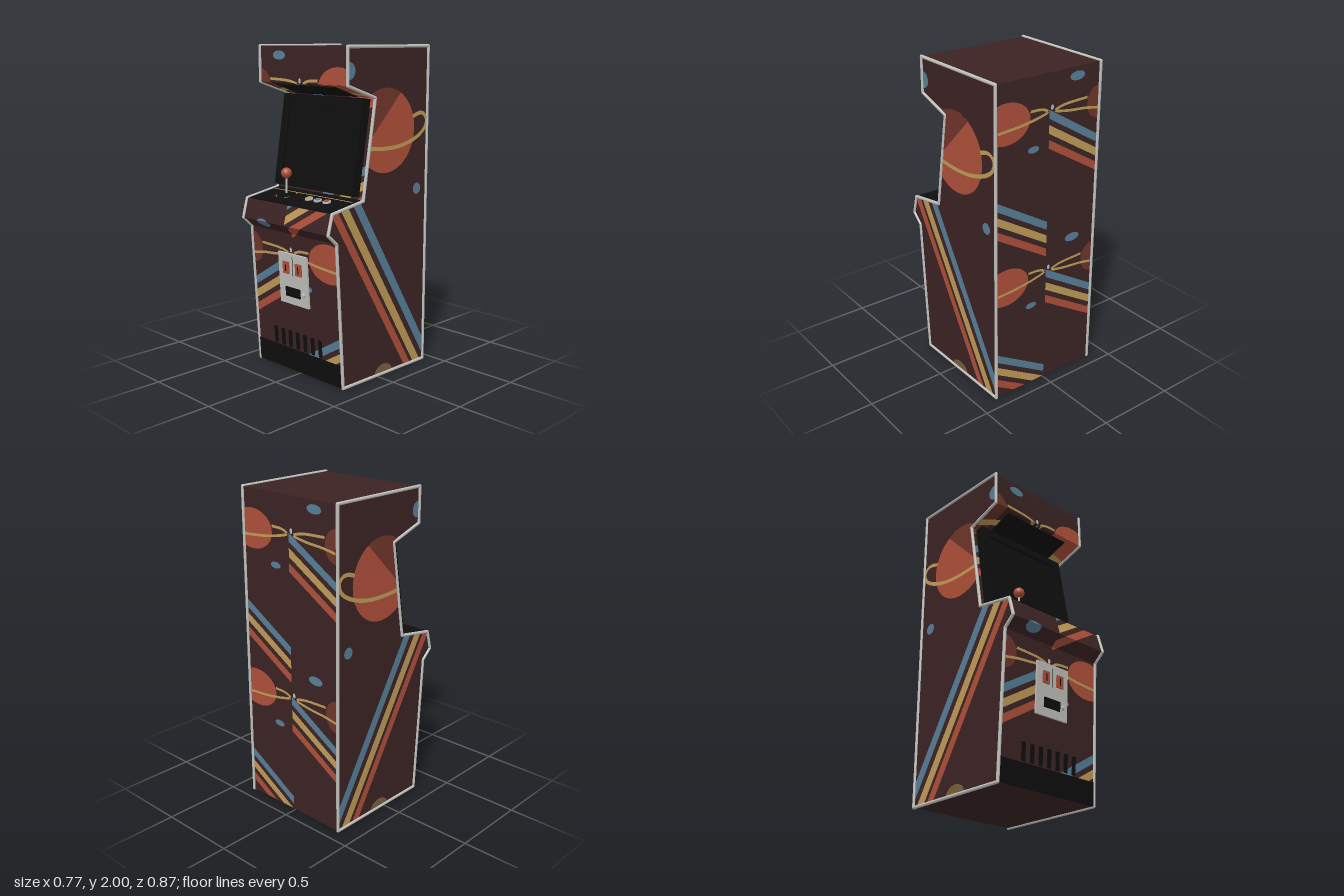
import * as THREE from 'three';

const mat = (name, color, side = THREE.FrontSide) =>
  Object.assign(new THREE.MeshStandardMaterial({ color, side }), { name });

export function createModel() {
  const model = new THREE.Group();
  model.name = 'arcadeCabinet';
  const maroon = mat('maroon', 0x3c2324), black = mat('black', 0x0e0e0e), silver = mat('silver', 0xc0c0bc);
  const orange = mat('orange', 0xb0503a), rust = mat('rust', 0x70362b), yellow = mat('yellow', 0xc09c58);
  const blue = mat('blue', 0x577f99), olive = mat('olive', 0x7a5f3c);

  const add = (parent, name, geo, material, x = 0, y = 0, z = 0) => {
    const m = new THREE.Mesh(geo, material);
    m.name = name;
    m.position.set(x, y, z);
    parent.add(m);
    return m;
  };
  const box = (parent, name, material, w, h, d, x, y, z) =>
    add(parent, name, new THREE.BoxGeometry(w, h, d), material, x, y, z);
  const toShape = pts => new THREE.Shape(pts.map(p => new THREE.Vector2(...p)));

  // Side outline as [z, y]
  const profile = [[-0.425, 0.01], [0.3, 0.01], [0.355, 0.89], [0.422, 0.95], [0.39, 1.068],
    [0.138, 1.11], [0.042, 1.7], [0.268, 1.775], [0.268, 1.99], [-0.425, 1.99]];
  const half = 0.373;

  // Cabinet body
  const bodyGeo = new THREE.ExtrudeGeometry(toShape(profile.map(([z, y]) => [-z, y])),
    { depth: half * 2, bevelEnabled: false });
  bodyGeo.translate(0, 0, -half).rotateY(Math.PI / 2);
  add(model, 'cabinetBody', bodyGeo, maroon);

  // Rounded edge trim on both sides
  for (const x of [-half, half]) {
    const trim = new THREE.Group();
    trim.name = x > 0 ? 'leftTrim' : 'rightTrim';
    model.add(trim);
    profile.forEach(([z, y], i) => {
      const [z2, y2] = profile[(i + 1) % profile.length];
      const bar = add(trim, 'trimBar', new THREE.CylinderGeometry(0.01, 0.01, Math.hypot(z2 - z, y2 - y), 10, 1, true),
        silver, x, (y + y2) / 2, (z + z2) / 2);
      bar.rotation.x = Math.atan2(z2 - z, y2 - y);
      add(trim, 'trimCorner', new THREE.SphereGeometry(0.01, 10, 8), silver, x, y, z);
    });
  }

  // Painted artwork: convex pieces clipped to the outline of each face
  const clip = (subject, convex) => {
    const c = THREE.ShapeUtils.area(convex.map(([x, y]) => ({ x, y }))) < 0 ? [...convex].reverse() : convex;
    return c.reduce((poly, a, i) => {
      const b = c[(i + 1) % c.length];
      const side = p => (b[0] - a[0]) * (p[1] - a[1]) - (b[1] - a[1]) * (p[0] - a[0]);
      return poly.flatMap((p, j) => {
        const q = poly[(j + 1) % poly.length], s = side(p), t = side(q), k = s / (s - t);
        const out = s >= 0 ? [p] : [];
        if (s * t < 0) out.push([p[0] + k * (q[0] - p[0]), p[1] + k * (q[1] - p[1])]);
        return out;
      });
    }, subject);
  };
  const ellipse = (x, y, rx, ry) => Array.from({ length: 32 }, (_, i) => {
    const a = i * Math.PI / 16;
    return [x + rx * Math.cos(a), y + ry * Math.sin(a)];
  });
  const ribbon = (points, width) => {
    const curve = new THREE.CatmullRomCurve3(points.map(([x, y]) => new THREE.Vector3(x, y, 0)));
    const edges = Array.from({ length: 25 }, (_, i) => {
      const p = curve.getPoint(i / 24), t = curve.getTangent(i / 24), w = width / 2;
      return [[p.x - t.y * w, p.y + t.x * w], [p.x + t.y * w, p.y - t.x * w]];
    });
    return edges.slice(1).map((e, i) => [edges[i][0], e[0], e[1], edges[i][1]]);
  };
  const paint = (parent, region, art, map) => art.forEach(([name, material, poly, layer]) => {
    const pts = clip(region, poly);
    if (pts.length > 2) add(parent, name, new THREE.ShapeGeometry(toShape(pts.map(map))), material, 0, 0, 0.001 * layer);
  });

  // Side artwork in [z, y]
  const planet = ellipse(-0.055, 1.505, 0.25, 0.25);
  const band = (z1, z2) => [[z1 + 0.037, 1.13], [z2 + 0.037, 1.13], [z2 - 0.652, 0], [z1 - 0.652, 0]];
  const sideArt = [
    ['planet', orange, planet, 1],
    ['planetShade', rust, clip(planet, [[-0.455, 2], [0.545, 1], [0.545, 2]]), 2],
    ...ribbon([[0.1, 1.41], [-0.05, 1.4], [-0.2, 1.41], [-0.33, 1.45], [-0.4, 1.5], [-0.415, 1.55],
      [-0.39, 1.585], [-0.35, 1.592], [-0.29, 1.575]], 0.024).map(q => ['planetRing', yellow, q, 3]),
    ['moon', blue, ellipse(0.258, 1.857, 0.05, 0.05), 1],
    ['moon', blue, ellipse(-0.338, 1.13, 0.035, 0.035), 1],
    ['lowPlanet', olive, ellipse(-0.05, 0.01, 0.08, 0.06), 1],
    ['stripe', orange, band(0.4, 0.342), 1],
    ['stripe', yellow, band(0.315, 0.25), 1],
    ['stripe', blue, band(0.205, 0.14), 1],
  ];
  for (const s of [1, -1]) {
    const art = new THREE.Group();
    art.name = s > 0 ? 'leftSideArt' : 'rightSideArt';
    art.position.x = s * half;
    art.rotation.y = s * Math.PI / 2;
    model.add(art);
    paint(art, profile, sideArt, ([z, y]) => [-s * z, y]);
  }

  // Front and back artwork in [x, y], repeating every unit of height
  const slant = (x1, x2, yEnd, t = 0.026) => {
    const y1 = yEnd, y2 = yEnd + 0.6 * (x2 - x1);
    return [[x1, y1 - t], [x2, y2 - t], [x2, y2 + t], [x1, y1 + t]];
  };
  const tile = y => [
    ['planet', orange, ellipse(0.3, y + 0.757, 0.165, 0.12), 1],
    ['planetShade', rust, ellipse(-0.37, y + 0.757, 0.09, 0.1), 1],
    ...ribbon([[0.36, y + 0.715], [0.2, y + 0.728], [0.08, y + 0.748], [0.01, y + 0.77], [0.05, y + 0.79],
      [0.135, y + 0.795]], 0.016).map(q => ['planetRing', yellow, q, 2]),
    ...ribbon([[-0.36, y + 0.72], [-0.27, y + 0.735], [-0.13, y + 0.748], [-0.04, y + 0.768], [-0.1, y + 0.787],
      [-0.28, y + 0.797]], 0.016).map(q => ['planetRing', yellow, q, 2]),
    ['star', silver, ellipse(-0.02, y + 0.79, 0.01, 0.016), 1],
    ['moon', blue, ellipse(-0.2, y + 0.937, 0.055, 0.027), 1],
    ['moon', blue, ellipse(0.11, y + 0.57, 0.04, 0.02), 1],
    ...[blue, yellow, orange].flatMap((m, i) => [
      ['stripe', m, slant(-0.38, 0, y + 0.525 - 0.088 * i), 1],
      ['stripe', m, slant(0, 0.38, y + 0.07 - 0.088 * i), 1],
    ]),
  ];
  const tiles = [...tile(0), ...tile(1)];
  const rect = (y0, y1) => [[-0.364, y0], [0.364, y0], [0.364, y1], [-0.364, y1]];

  const backArt = new THREE.Group();
  backArt.name = 'backArt';
  backArt.position.z = -0.425;
  backArt.rotation.y = Math.PI;
  model.add(backArt);
  paint(backArt, rect(0.012, 1.988), tiles, ([x, y]) => [-x, y]);

  // Local frames on the front faces: y runs up the face, z points outward
  const face = (name, i, painted = true) => {
    const [z0, y0] = profile[i], [z1, y1] = profile[i + 1];
    const g = new THREE.Group();
    g.name = name;
    g.position.set(0, y0, z0);
    g.rotation.x = Math.atan2(z1 - z0, y1 - y0);
    model.add(g);
    if (painted) paint(g, rect(y0, y1), tiles, ([x, y]) => [x, (y - y0) / Math.cos(g.rotation.x)]);
    return g;
  };
  const lower = face('lowerFront', 1);
  face('lipUnderside', 2);
  face('lipFront', 3);
  const controls = face('controlPanel', 4, false);
  const monitor = face('monitor', 5);
  const soffit = face('soffit', 6);
  face('headerFront', 7);

  // Kick plate and vents
  box(lower, 'kickPlate', black, 0.728, 0.14, 0.008, 0, 0.07, 0.002);
  for (let i = 0; i < 7; i++) box(lower, 'ventSlot', black, 0.027, 0.108, 0.008, -0.199 + 0.066 * i, 0.203, 0.002);

  // Coin door
  box(lower, 'coinDoor', silver, 0.25, 0.32, 0.014, 0, 0.6, 0.006);
  box(lower, 'doorSeam', black, 0.003, 0.12, 0.002, 0, 0.68, 0.013);
  for (const x of [-0.055, 0.055]) {
    box(lower, 'coinSlotPlate', orange, 0.052, 0.075, 0.01, x, 0.67, 0.016);
    box(lower, 'coinSlot', black, 0.007, 0.045, 0.003, x, 0.67, 0.021);
  }
  box(lower, 'coinReturn', black, 0.125, 0.058, 0.01, -0.003, 0.52, 0.016);
  add(lower, 'doorLock', new THREE.CylinderGeometry(0.013, 0.013, 0.018, 16).rotateX(Math.PI / 2), silver, 0.088, 0.52, 0.02);

  // Control deck with buttons and stick
  box(controls, 'controlDeck', black, 0.7, 0.25, 0.008, 0, 0.13, 0.002);
  box(controls, 'deckLine', yellow, 0.68, 0.007, 0.002, 0, 0.2, 0.006);
  [yellow, blue, orange].forEach((m, i) => {
    const x = 0.05 + 0.075 * i;
    const disc = (r, h) => new THREE.CylinderGeometry(r, r, h, 20).rotateX(Math.PI / 2);
    add(controls, 'buttonRim', disc(0.025, 0.012), silver, x, 0.13, 0.01);
    add(controls, 'buttonCap', disc(0.017, 0.012), m, x, 0.13, 0.015);
  });
  for (let i = 0; i < 4; i++) {
    add(controls, 'stickMark', new THREE.RingGeometry(0.06, 0.068, 12, 1, i * Math.PI / 2 + 0.45, 0.67),
      i % 2 ? yellow : orange, -0.165, 0.142, 0.007);
  }
  add(controls, 'stickBase', new THREE.CylinderGeometry(0.035, 0.035, 0.012, 20).rotateX(Math.PI / 2), black, -0.165, 0.142, 0.01);
  add(model, 'stickShaft', new THREE.CylinderGeometry(0.007, 0.007, 0.12, 12), silver, -0.165, 1.15, 0.25);
  add(model, 'stickBall', new THREE.SphereGeometry(0.033, 24, 16), orange, -0.165, 1.23, 0.25);

  // Screen with raised bezel
  const bezel = toShape([[-0.338, 0.02], [0.338, 0.02], [0.338, 0.588], [-0.338, 0.588]]);
  bezel.holes.push(new THREE.Path([[-0.28, 0.075], [-0.28, 0.535], [0.28, 0.535], [0.28, 0.075]].map(p => new THREE.Vector2(...p))));
  add(monitor, 'screenBezel', new THREE.ExtrudeGeometry(bezel, { depth: 0.07, bevelEnabled: false }), black, 0, 0, -0.008);
  box(monitor, 'screenGlass', black, 0.58, 0.48, 0.05, 0, 0.305, 0.022);

  // Speaker panel under the header
  box(soffit, 'speakerPanel', black, 0.5, 0.19, 0.008, 0, 0.12, 0.004);

  return model;
}
